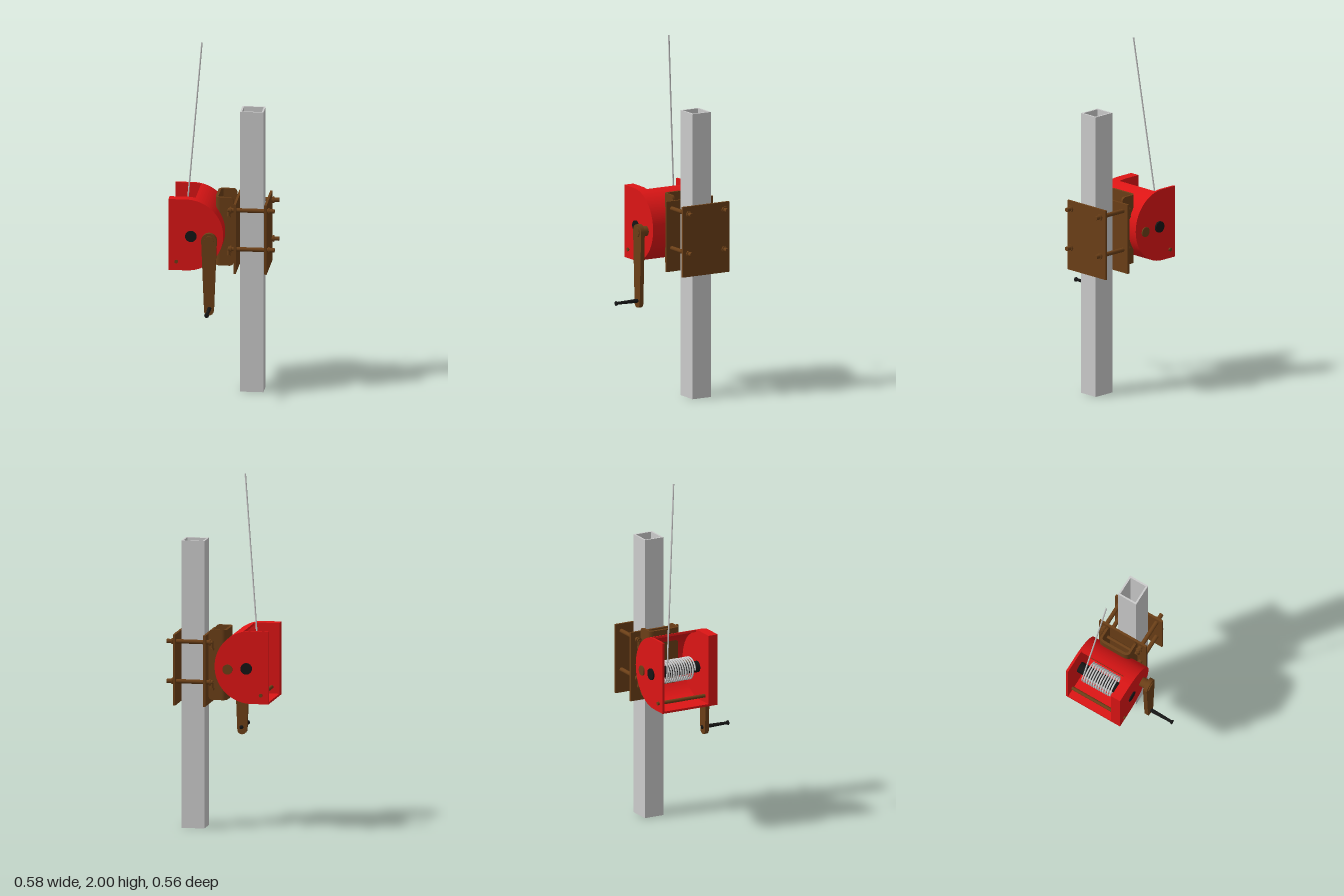
import * as THREE from 'three';

const paint = (color) => new THREE.MeshStandardMaterial({ color });
const grey = paint(0xcccccc), red = paint(0xdd1515), brown = paint(0x6b3f17), black = paint(0x151515);

export function createModel() {
  const model = new THREE.Group();

  const add = (name, geometry, material, x = 0, y = 0, z = 0) => {
    const mesh = new THREE.Mesh(geometry, material);
    mesh.name = name;
    mesh.position.set(x, y, z);
    model.add(mesh);
    return mesh;
  };
  // Box given by its lower and upper limits
  const box = (name, mat, x0, x1, y0, y1, z0, z1) =>
    add(name, new THREE.BoxGeometry(x1 - x0, y1 - y0, z1 - z0), mat, (x0 + x1) / 2, (y0 + y1) / 2, (z0 + z1) / 2);
  // Shape in the xy plane extruded from z0 to z1
  const slab = (name, mat, shape, z0, z1) =>
    add(name, new THREE.ExtrudeGeometry(shape, { depth: z1 - z0, bevelEnabled: false, curveSegments: 32 }), mat, 0, 0, z0);
  const rodZ = (name, mat, r, x, y, z0, z1, sides = 32) =>
    add(name, new THREE.CylinderGeometry(r, r, z1 - z0, sides).rotateX(Math.PI / 2), mat, x, y, (z0 + z1) / 2);
  const rodX = (name, mat, r, x0, x1, y, z, sides = 24) =>
    add(name, new THREE.CylinderGeometry(r, r, x1 - x0, sides).rotateZ(Math.PI / 2), mat, (x0 + x1) / 2, y, z);

  // Hollow square post
  const tube = new THREE.Shape();
  tube.moveTo(0.093, 0.049).lineTo(0.223, 0.049).lineTo(0.223, 0.167).lineTo(0.093, 0.167).closePath();
  const bore = new THREE.Path();
  bore.moveTo(0.103, 0.059).lineTo(0.103, 0.157).lineTo(0.213, 0.157).lineTo(0.213, 0.059).closePath();
  tube.holes.push(bore);
  add('post', new THREE.ExtrudeGeometry(tube, { depth: 1.62, bevelEnabled: false }).rotateX(-Math.PI / 2), grey);

  // Housing: thick front case, thin rear plate, and a shell wrapped round the curved side and floor
  const cx = -0.192, cy = 0.935, R = 0.205, wall = 0.012, back = -0.293;
  const cheek = new THREE.Shape();
  cheek.moveTo(back, cy - R).lineTo(cx, cy - R);
  cheek.absarc(cx, cy, R, -Math.PI / 2, Math.PI / 2, false);
  cheek.lineTo(back, cy + R).closePath();
  slab('frontCase', red, cheek, 0.022, 0.08);
  slab('rearPlate', red, cheek, -0.27, -0.257);
  const end = Math.acos((-0.148 - cx) / R);
  const shell = new THREE.Shape();
  shell.moveTo(back, cy - R).lineTo(cx, cy - R);
  shell.absarc(cx, cy, R, -Math.PI / 2, end, false);
  shell.absarc(cx, cy, R - wall, end, -Math.PI / 2, true);
  shell.lineTo(back, cy - R + wall).closePath();
  slab('housingShell', red, shell, -0.257, 0.022);

  // Shafts through the housing
  const drumX = -0.168, drumY = 0.928, crankX = -0.061, crankY = 0.92;
  rodZ('drumShaft', black, 0.032, drumX, drumY, -0.28, 0.086);
  rodZ('tieRod', brown, 0.01, -0.25, 0.78, -0.28, 0.086);
  rodZ('crankShaft', brown, 0.028, crankX, crankY, -0.277, 0.145);

  // Wound cable and its free end
  const turns = 12, coil = [];
  for (let i = 0; i <= turns * 16; i++) {
    const a = Math.PI + (i / 16) * Math.PI * 2;
    coil.push(new THREE.Vector3(drumX + 0.06 * Math.cos(a), drumY + 0.06 * Math.sin(a), -0.206 + (0.181 * i) / (turns * 16)));
  }
  add('woundCable', new THREE.TubeGeometry(new THREE.CatmullRomCurve3(coil), turns * 32, 0.005, 8), grey);
  const freeEnd = new THREE.LineCurve3(coil[0], new THREE.Vector3(-0.127, 2, -0.108));
  add('freeCable', new THREE.TubeGeometry(freeEnd, 1, 0.0045, 10), grey);

  // Tapered crank arm with round ends
  const arm = new THREE.Shape(), gripY = 0.517;
  const lean = Math.asin((0.043 - 0.027) / (crankY - gripY));
  arm.absarc(crankX, crankY, 0.043, -lean, Math.PI + lean, false);
  arm.absarc(crankX, gripY, 0.027, Math.PI + lean, Math.PI * 2 - lean, false);
  arm.closePath();
  slab('crankArm', brown, arm, 0.115, 0.139);

  // Tapered grip with flared end
  const grip = [[0, 0], [0.011, 0], [0.011, 0.04], [0.008, 0.157], [0.013, 0.165], [0.013, 0.169], [0, 0.169]]
    .map(([r, h]) => new THREE.Vector2(r, h));
  add('crankGrip', new THREE.LatheGeometry(grip, 24).rotateX(Math.PI / 2), black, -0.058, 0.53, 0.111);

  // Channel bracket: bent web plus two legs with rounded corners
  const web = new THREE.Shape(), zA = 0.02, zB = 0.213, t = 0.013;
  web.moveTo(0, zA).lineTo(0, zA + t).lineTo(-0.012, zA + t);
  web.quadraticCurveTo(-0.028, zA + t, -0.028, zA + 0.032).lineTo(-0.028, zB - 0.032);
  web.quadraticCurveTo(-0.028, zB - t, -0.012, zB - t).lineTo(0, zB - t).lineTo(0, zB).lineTo(-0.015, zB);
  web.quadraticCurveTo(-0.043, zB, -0.043, zB - 0.04).lineTo(-0.043, zA + 0.04);
  web.quadraticCurveTo(-0.043, zA, -0.015, zA).closePath();
  add('bracketWeb', new THREE.ExtrudeGeometry(web, { depth: 0.395, bevelEnabled: false, curveSegments: 10 })
    .rotateX(-Math.PI / 2), brown, 0, 0.735, 0);
  const leg = new THREE.Shape();
  leg.moveTo(0, 0.735).lineTo(0.035, 0.735).quadraticCurveTo(0.06, 0.735, 0.06, 0.765);
  leg.lineTo(0.06, 1.1).quadraticCurveTo(0.06, 1.13, 0.035, 1.13).lineTo(0, 1.13).closePath();
  slab('bracketLegFront', brown, leg, -zA - t, -zA);
  slab('bracketLegRear', brown, leg, -zB, -zB + t);

  // Clamp plates on either side of the post
  box('innerClampPlate', brown, 0.065, 0.078, 0.705, 1.105, -0.272, 0.032);
  box('outerClampPlate', brown, 0.237, 0.25, 0.705, 1.105, -0.272, 0.032);

  // Clamp bolts with nuts, tied to cross pins through the bracket
  for (const y of [1.063, 0.838]) {
    const pinY = y - 0.04;
    rodZ('bracketPin', brown, 0.009, 0.035, pinY, -0.245, 0.006, 20);
    for (const z of [-0.235, -0.003]) {
      rodX('clampBolt', brown, 0.012, 0.03, 0.291, y, z);
      rodX('boltHead', brown, 0.019, 0.04, 0.05, y, z, 6);
      rodX('boltNut', brown, 0.019, 0.255, 0.264, y, z, 6);
      add('boltLink', new THREE.CylinderGeometry(0.009, 0.009, y - pinY, 16), brown, 0.035, (y + pinY) / 2, z);
    }
  }
  return model;
}
